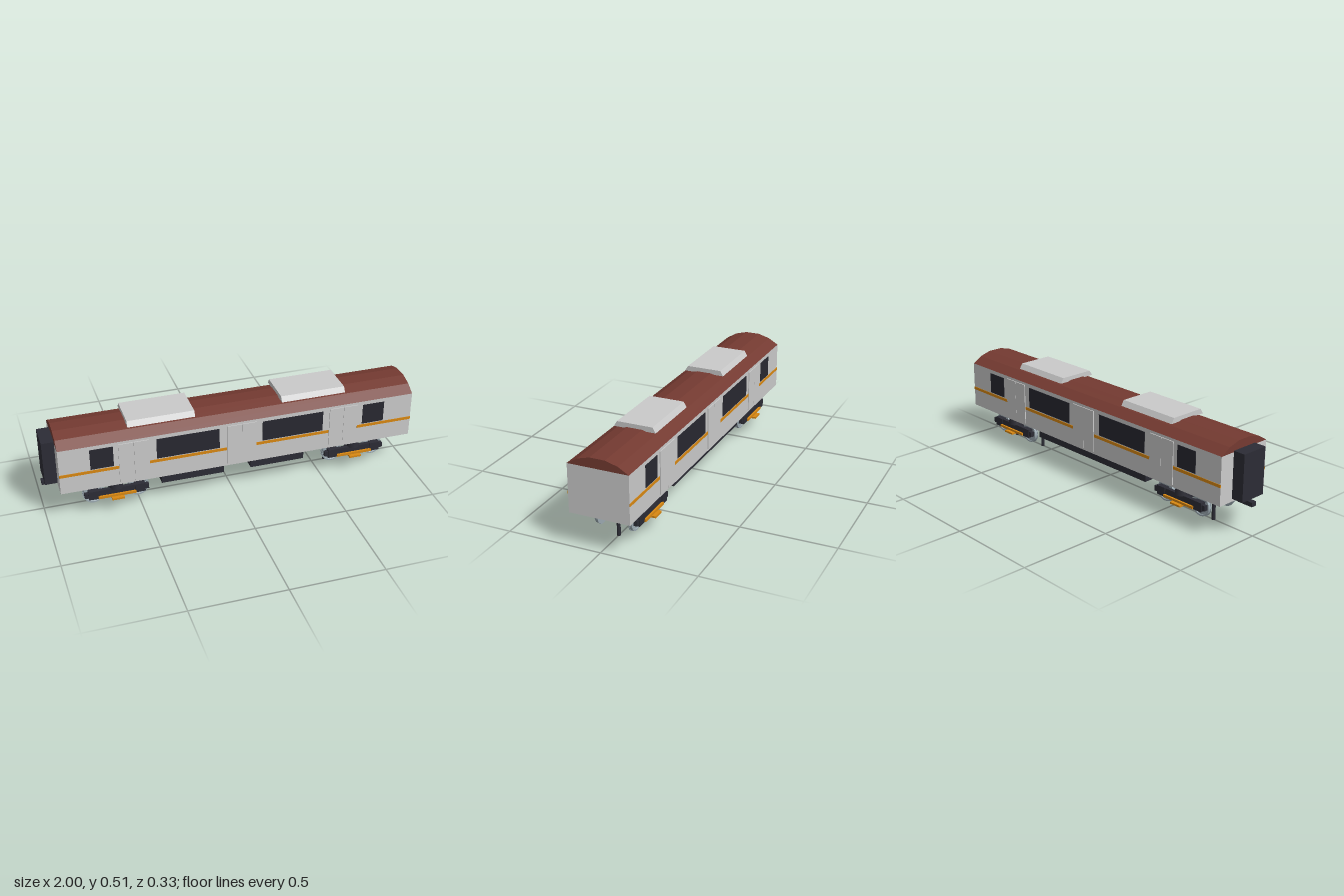
import * as THREE from 'three';

const mat = (name, color) => {
  const m = new THREE.MeshStandardMaterial({ color });
  m.name = name;
  return m;
};

export function createModel() {
  const grey = mat('body grey', 0xcacaca);
  const red = mat('roof red', 0x743a31);
  const dark = mat('underframe dark', 0x2c2c35);
  const glass = mat('window dark', 0x282830);
  const orange = mat('orange', 0xd98812);
  const steel = mat('wheel steel', 0x9caab2);
  const train = new THREE.Group();
  train.name = 'railCar';

  const add = (parent, name, geo, material) => {
    const m = new THREE.Mesh(geo, material);
    m.name = name;
    parent.add(m);
    return m;
  };
  // Box given by its limits on each axis
  const box = (parent, name, material, x0, x1, y0, y1, z0, z1) => {
    const m = add(parent, name, new THREE.BoxGeometry(x1 - x0, y1 - y0, z1 - z0), material);
    m.position.set((x0 + x1) / 2, (y0 + y1) / 2, (z0 + z1) / 2);
    return m;
  };
  // Cross-section of [z, y] points swept along x
  const sweep = (parent, name, material, pts, x0, x1) => {
    const shape = new THREE.Shape(pts.map(([z, y]) => new THREE.Vector2(-z, y)));
    const geo = new THREE.ExtrudeGeometry(shape, { depth: x1 - x0, bevelEnabled: false });
    geo.rotateY(Math.PI / 2).translate(x0, 0, 0);
    return add(parent, name, geo, material);
  };

  // Body shell and faceted roof
  box(train, 'body', grey, -0.925, 1, 0.18, 0.435, -0.16, 0.16);
  sweep(train, 'roof', red, [[0.16, 0.435], [0.105, 0.468], [0.04, 0.486],
    [-0.04, 0.486], [-0.105, 0.468], [-0.16, 0.435]], -0.925, 1);

  // Roof air-conditioning units
  for (const x of [-0.555, 0.272]) {
    sweep(train, 'roofUnit', grey,
      [[0.112, 0.48], [0.095, 0.508], [-0.095, 0.508], [-0.112, 0.48]], x, x + 0.355);
  }

  // Gangway and coupler
  box(train, 'gangway', dark, -0.99, -0.925, 0.195, 0.442, -0.075, 0.075);
  box(train, 'coupler', dark, -1, -0.91, 0.157, 0.18, -0.015, 0.015);

  // Windows, stripes and doors on both sides
  for (const s of [1, -1]) {
    const plate = (name, material, x0, x1, y0, y1, out) =>
      box(train, name, material, x0, x1, y0, y1, s > 0 ? 0.158 : -out, s > 0 ? out : -0.158);
    for (const [x0, x1] of [[-0.765, -0.645], [-0.42, -0.085], [0.15, 0.487], [0.715, 0.837]])
      plate('window', glass, x0, x1, 0.299, 0.414, 0.163);
    for (const [x0, x1] of [[-0.925, -0.618], [-0.458, -0.045], [0.117, 0.522], [0.687, 1]])
      plate('stripe', orange, x0, x1, 0.277, 0.293, 0.1625);
    for (const x of [-0.538, 0.036, 0.605]) {
      plate('doorLeaf', grey, x - 0.08, x - 0.0005, 0.192, 0.421, 0.165);
      plate('doorLeaf', grey, x + 0.0005, x + 0.08, 0.192, 0.421, 0.165);
    }
  }

  // Equipment boxes under the floor
  box(train, 'equipmentMain', dark, -0.39, 0.455, 0.122, 0.18, -0.123, 0.05);
  box(train, 'equipmentFront', dark, -0.39, -0.05, 0.115, 0.18, 0.05, 0.123);
  box(train, 'equipmentFront', dark, 0.1, 0.4, 0.115, 0.18, 0.05, 0.123);
  box(train, 'equipmentCentre', dark, -0.05, 0.1, 0.13, 0.18, 0.05, 0.085);

  // Wheel profile: tread outside, thin flange inside
  const profile = [[0, -0.009], [0.058, -0.009], [0.058, -0.006], [0.055, -0.006],
    [0.055, 0.009], [0.047, 0.009], [0.045, 0.006], [0, 0.006]].map(p => new THREE.Vector2(...p));
  // Separate segments keep the profile edges sharp
  const wheelParts = profile.slice(1).map((p, i) =>
    new THREE.LatheGeometry([profile[i], p], 32).rotateX(Math.PI / 2));

  // Bogies
  for (const cx of [-0.63, 0.695]) {
    const bogie = new THREE.Group();
    bogie.name = 'bogie';
    bogie.position.x = cx;
    train.add(bogie);
    box(bogie, 'bolster', dark, -0.035, 0.035, 0.113, 0.145, -0.11, 0.11);

    for (const ax of [-0.119, 0.119]) {
      const post = add(bogie, 'supportPost', new THREE.CylinderGeometry(0.0095, 0.0095, 0.18, 16), dark);
      post.position.set(ax, 0.09, 0);
    }

    for (const s of [1, -1]) {
      const side = new THREE.Group();
      side.name = 'bogieSide';
      side.rotation.y = s > 0 ? 0 : Math.PI;
      bogie.add(side);
      box(side, 'sideFrame', dark, -0.13, 0.13, 0.105, 0.136, 0.106, 0.126);
      const spring = add(side, 'airSpring', new THREE.CylinderGeometry(0.031, 0.036, 0.042, 20), dark);
      spring.position.set(0, 0.154, 0.106);
      box(side, 'stepBracket', orange, -0.1, 0.1, 0.092, 0.105, 0.12, 0.137);
      box(side, 'stepPlate', orange, -0.033, 0.033, 0.083, 0.093, 0.123, 0.156);
      for (const ax of [-0.119, 0.119]) {
        const e = Math.sign(ax);
        const bx = [e * 0.095, e * 0.15].sort((a, b) => a - b);
        const tip = [e * 0.14, e * 0.17].sort((a, b) => a - b);
        box(side, 'axleBox', dark, bx[0], bx[1], 0.09, 0.138, 0.1, 0.13);
        box(side, 'frameEnd', dark, tip[0], tip[1], 0.1, 0.128, 0.106, 0.126);
        const wheel = new THREE.Group();
        wheel.name = 'wheel';
        wheel.position.set(ax, 0.107, 0.091);
        side.add(wheel);
        for (const g of wheelParts) add(wheel, 'wheelSurface', g, steel);
      }
    }
  }
  return train;
}
